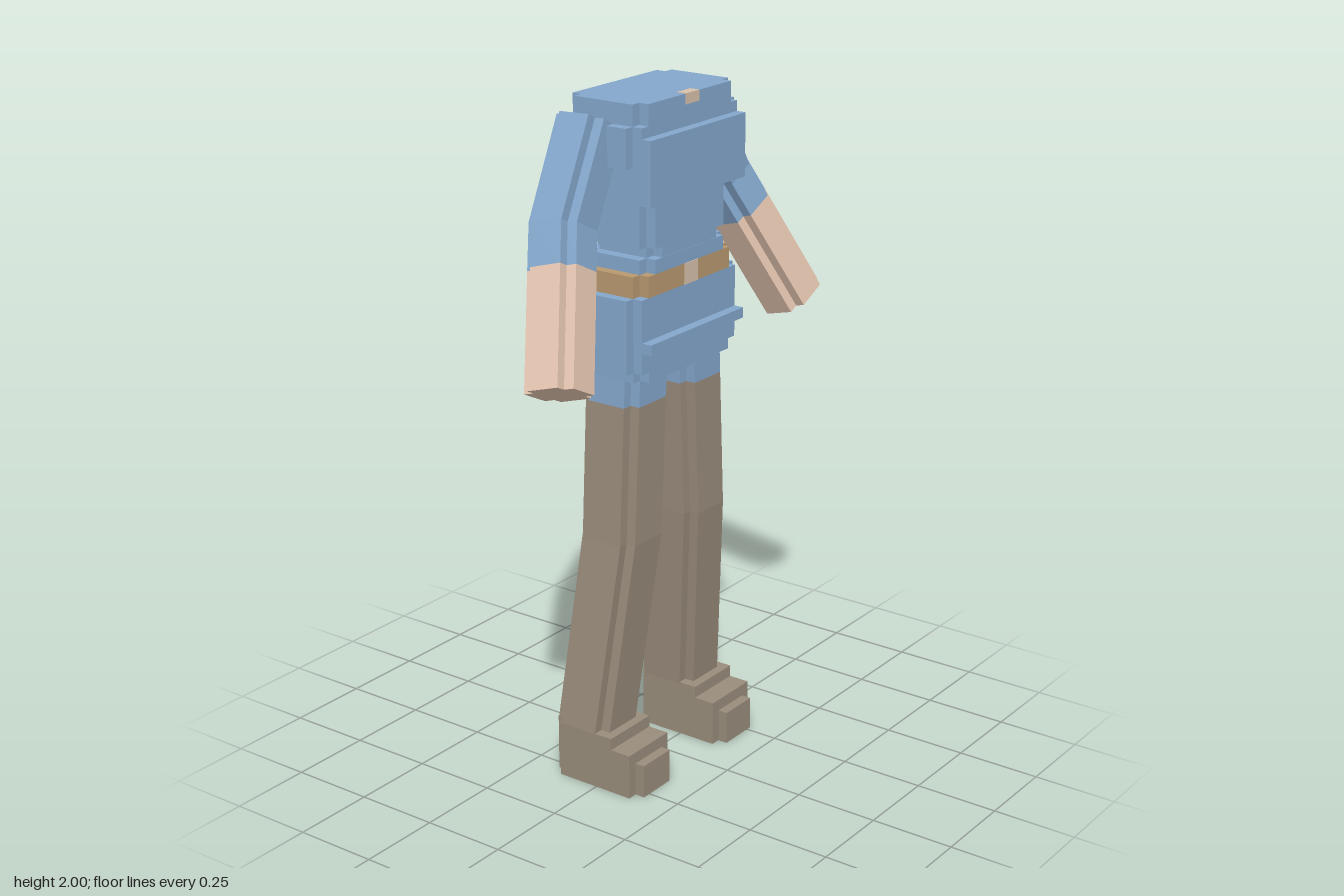
import * as THREE from 'three';

const mat = (name, color) => {
  const m = new THREE.MeshStandardMaterial({ color });
  m.name = name;
  return m;
};

// Square outline with a small notch cut from each corner
function notched(hx, hz, n) {
  const a = hx - n, b = hz - n;
  return [[hx, -b], [hx, b], [a, b], [a, hz], [-a, hz], [-a, b],
    [-hx, b], [-hx, -b], [-a, -b], [-a, -hz], [a, -hz], [a, -b]];
}

// Lofts a notched outline through rings of { p: centre, d: direction }
function loft(rings, hx, hz, n = 0.03) {
  const section = notched(hx, hz, n);
  const loops = rings.map(({ p, d }) => {
    const w = new THREE.Vector3(0, 0, 1).addScaledVector(d, -d.z).normalize();
    const u = new THREE.Vector3().crossVectors(w, d);
    return section.map(([s, t]) => p.clone().addScaledVector(u, s).addScaledVector(w, t));
  });
  const tris = [], count = section.length, last = rings.length - 1;
  for (let j = 0; j < count; j++) {
    const k = (j + 1) % count;
    for (let i = 0; i < last; i++) {
      const a = loops[i], b = loops[i + 1];
      tris.push(a[j], a[k], b[j], a[k], b[k], b[j]);
    }
    tris.push(rings[0].p, loops[0][k], loops[0][j]);
    tris.push(rings[last].p, loops[last][j], loops[last][k]);
  }
  const g = new THREE.BufferGeometry().setFromPoints(tris);
  g.computeVertexNormals();
  return g;
}

export function createModel() {
  const blue = mat('blue cloth', 0x84a7cc);
  const brown = mat('brown cloth', 0x998c7b);
  const skin = mat('skin', 0xe4c5b0);
  const tan = mat('tan leather', 0xb8996f);
  const pale = mat('pale trim', 0xd6c0aa);
  const model = new THREE.Group();
  const down = new THREE.Vector3(0, -1, 0);
  const V = (x, y, z) => new THREE.Vector3(x, y, z);

  const add = (parent, name, geometry, material) => {
    const m = new THREE.Mesh(geometry, material);
    m.name = name;
    parent.add(m);
    return m;
  };
  const box = (parent, name, material, x0, x1, y0, y1, z0, z1) =>
    add(parent, name, new THREE.BoxGeometry(x1 - x0, y1 - y0, z1 - z0), material)
      .position.set((x0 + x1) / 2, (y0 + y1) / 2, (z0 + z1) / 2);

  // Torso: stacked stepped slabs
  const torso = new THREE.Group();
  torso.name = 'torso';
  torso.position.x = -0.012;
  model.add(torso);
  const slab = (name, material, y0, y1, hx, z0, z1, n = 0.03) => {
    const z = (z0 + z1) / 2;
    add(torso, name, loft([{ p: V(0, y1, z), d: down }, { p: V(0, y0, z), d: down }],
      hx, (z1 - z0) / 2, n), material);
  };
  slab('shoulderTop', blue, 1.9, 1.999, 0.22, -0.138, 0.114);
  slab('shoulderYoke', blue, 1.83, 1.94, 0.25, -0.138, 0.114);
  slab('chest', blue, 1.73, 1.91, 0.22, -0.168, 0.144, 0.001);
  slab('midriff', blue, 1.6, 1.73, 0.19, -0.138, 0.114);
  slab('waist', blue, 1.57, 1.6, 0.157, -0.108, 0.113);
  slab('lowerWaist', blue, 1.53, 1.57, 0.19, -0.108, 0.114);
  slab('belt', tan, 1.47, 1.53, 0.22, -0.138, 0.114);
  slab('hips', blue, 1.26, 1.47, 0.25, -0.138, 0.114);
  slab('hipBand', blue, 1.32, 1.35, 0.22, -0.168, 0.144, 0.001);
  slab('hipBase', blue, 1.23, 1.26, 0.22, -0.138, 0.114);
  box(torso, 'collarNotch', pale, -0.024, 0.038, 1.97, 2, 0.085, 0.116);
  box(torso, 'buckle', pale, -0.026, 0.035, 1.47, 1.53, 0.109, 0.117);

  for (const s of [1, -1]) {
    const side = s > 0 ? 'left' : 'right';

    // Arm: sleeve to just past the elbow, then bare forearm
    const arm = new THREE.Group();
    arm.name = side + 'Arm';
    arm.position.x = -0.005;
    model.add(arm);
    const shoulder = V(s * 0.225, 1.935, -0.058);
    const elbow = V(s * 0.363, 1.68, -0.045);
    const hand = V(s * 0.555, 1.29, 0.088);
    const upper = elbow.clone().sub(shoulder).normalize();
    const lower = hand.clone().sub(elbow).normalize();
    const bend = upper.clone().add(lower).normalize();
    const cuff = elbow.clone().lerp(hand, 0.27);
    add(arm, side + 'Sleeve', loft([{ p: shoulder, d: upper }, { p: elbow, d: bend },
      { p: cuff, d: lower }], 0.078, 0.078), blue);
    add(arm, side + 'Forearm', loft([{ p: cuff, d: lower }, { p: hand, d: lower }],
      0.078, 0.078), skin);

    // Leg: short blue top, then trousers bent at the knee
    const leg = new THREE.Group();
    leg.name = side + 'Leg';
    leg.position.x = -0.006;
    model.add(leg);
    const ring = (x, y, z) => ({ p: V(s * x, y, z), d: down });
    add(leg, side + 'LegTop', loft([ring(0.127, 1.25, -0.0125), ring(0.132, 1.15, -0.0125)],
      0.0925, 0.0925), blue);
    add(leg, side + 'Trouser', loft([ring(0.132, 1.15, -0.0125), ring(0.153, 0.745, -0.0125),
      ring(0.208, 0.165, -0.066)], 0.0925, 0.0925), brown);

    // Boot: notched heel with stepped toe
    const boot = (name, hx, y1, z0, z1) =>
      box(leg, side + name, brown, s * 0.208 - hx, s * 0.208 + hx, 0, y1, z0, z1);
    boot('Heel', 0.0625, 0.169, -0.16, -0.13);
    boot('Ankle', 0.0925, 0.17, -0.13, 0.055);
    boot('Instep', 0.0925, 0.135, 0.055, 0.12);
    boot('Toe', 0.0625, 0.1, 0.12, 0.15);
  }
  return model;
}
